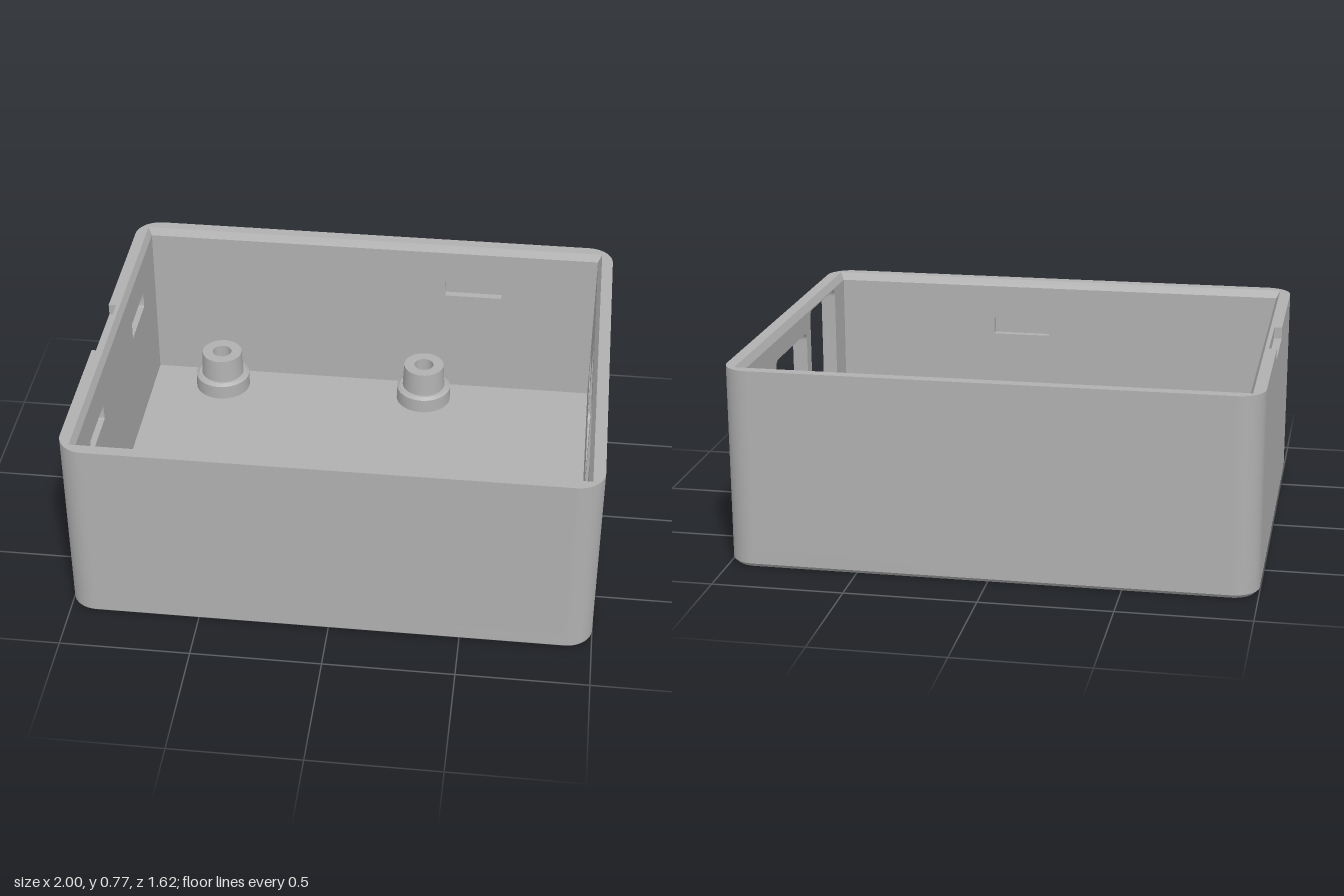
import * as THREE from 'three';
import { toCreasedNormals } from 'three/addons/utils/BufferGeometryUtils.js';

const X = 1, Z = 0.81, H = 0.77, R = 0.1;   // half sizes, height, corner radius
const FLOOR = 0.07, CHAMFER = 0.015;
const SKIN = 0.03, RIM = 0.045, WALL = 0.06; // depths measured inward from the outside
const LIP = 0.74;                            // where the sloped inner lip starts

const roundRect = (Type, x0, y0, x1, y1, r) => {
  const s = new Type();
  s.absarc(x1 - r, y1 - r, r, 0, Math.PI / 2);
  s.absarc(x0 + r, y1 - r, r, Math.PI / 2, Math.PI);
  s.absarc(x0 + r, y0 + r, r, Math.PI, Math.PI * 1.5);
  s.absarc(x1 - r, y0 + r, r, Math.PI * 1.5, Math.PI * 2);
  s.closePath();
  return s;
};
const poly = pts => new THREE.Shape(pts.map(p => new THREE.Vector2(...p)));
const extrude = (shape, depth, opts = {}) => toCreasedNormals(
  new THREE.ExtrudeGeometry(shape, { depth, bevelEnabled: false, curveSegments: 10, ...opts }), 0.5);

export function createModel() {
  const grey = new THREE.MeshStandardMaterial({ color: 0xb0b0b0 });
  grey.name = 'grey plastic';
  const model = new THREE.Group();
  model.name = 'openEnclosure';
  const add = (parent, geometry, name) => {
    const m = new THREE.Mesh(geometry, grey);
    m.name = name;
    parent.add(m);
    return m;
  };

  // Floor slab with a chamfered underside
  const plan = roundRect(THREE.Shape, -X, -Z, X, Z, R);
  add(model, extrude(plan, FLOOR - CHAMFER).rotateX(-Math.PI / 2).translate(0, CHAMFER, 0), 'floor');
  add(model, extrude(plan, 0.02, {
    bevelEnabled: true, bevelSegments: 1, bevelSize: CHAMFER,
    bevelThickness: CHAMFER, bevelOffset: -CHAMFER,
  }).rotateX(-Math.PI / 2).translate(0, CHAMFER, 0), 'floorChamfer');

  // Rounded outside corners, square inside
  for (const sx of [-1, 1]) for (const sz of [-1, 1]) {
    const pts = [];
    for (let i = 0; i <= 10; i++) {
      const a = i / 10 * Math.PI / 2;
      pts.push([sx * (X - R + R * Math.cos(a)), sz * (Z - R + R * Math.sin(a))]);
    }
    pts.push([sx * (X - R), sz * (Z - RIM)], [sx * (X - RIM), sz * (Z - RIM)], [sx * (X - RIM), sz * (Z - R)]);
    add(model, extrude(poly(pts), H - FLOOR).rotateX(-Math.PI / 2).translate(0, FLOOR, 0), 'corner');
  }

  // Walls: outer skin, inner layer with catch slots, sloped lip.
  // Rectangles are [u0, y0, u1, y1], u running along the wall seen from outside.
  const walls = [
    { name: 'frontWall', turn: 0, d: Z, half: X, slots: [[0.03, 0.53, 0.27, 0.6]] },
    { name: 'backWall', turn: Math.PI, d: Z, half: X, slots: [[-0.55, 0.53, -0.31, 0.6]] },
    { name: 'portWall', turn: Math.PI / 2, d: X, half: Z, ports: [
      [-0.6, 0.28, -0.21, 0.735], [-0.15, 0.28, 0.29, 0.66], [0.32, 0.275, 0.64, 0.38]] },
    { name: 'notchedWall', turn: -Math.PI / 2, d: X, half: Z, notch: 0.16,
      slots: [[0.28, 0.53, 0.52, 0.6], [-0.52, 0.53, -0.28, 0.6]] },
  ];
  for (const { name, turn, d, half, slots = [], ports = [], notch } of walls) {
    const wall = new THREE.Group();
    wall.name = name;
    wall.rotation.y = turn;
    model.add(wall);
    const portHoles = () => ports.map(p => roundRect(THREE.Path, ...p, 0.03));

    const a = half - R, b = half - RIM;
    const cut = notch ? [[notch, H], [notch, 0.725], [-notch, 0.725], [-notch, H]] : [];
    const skin = poly([[-a, FLOOR], [a, FLOOR], [a, H], ...cut, [-a, H]]);
    skin.holes.push(...portHoles());
    add(wall, extrude(skin, SKIN).translate(0, 0, d - SKIN), 'outerSkin');

    const inner = poly([[-b, FLOOR], [b, FLOOR], [b, LIP], [-b, LIP]]);
    inner.holes.push(...portHoles(), ...slots.map(s => roundRect(THREE.Path, ...s, 0.004)));
    add(wall, extrude(inner, WALL - SKIN).translate(0, 0, d - WALL), 'innerLayer');

    // Lip section is drawn in (-z, y) and swept along the wall
    const lip = poly([[SKIN - d, LIP], [SKIN - d, H], [RIM - d, H], [WALL - d, LIP]]);
    add(wall, extrude(lip, 2 * b).translate(0, 0, -b).rotateY(Math.PI / 2), 'lip');
  }

  // Stepped mounting posts with screw holes
  const profile = [[0.115, FLOOR], [0.114, 0.13], [0.1, 0.14], [0.09, 0.14], [0.084, 0.24],
    [0.04, 0.24], [0.04, 0.1], [0, 0.1]].map(p => new THREE.Vector2(...p));
  const post = toCreasedNormals(new THREE.LatheGeometry(profile, 40), 0.5);
  for (const x of [-0.64, 0.235]) for (const z of [-0.645, 0.63])
    add(model, post, 'mountingPost').position.set(x, 0, z);

  return model;
}
